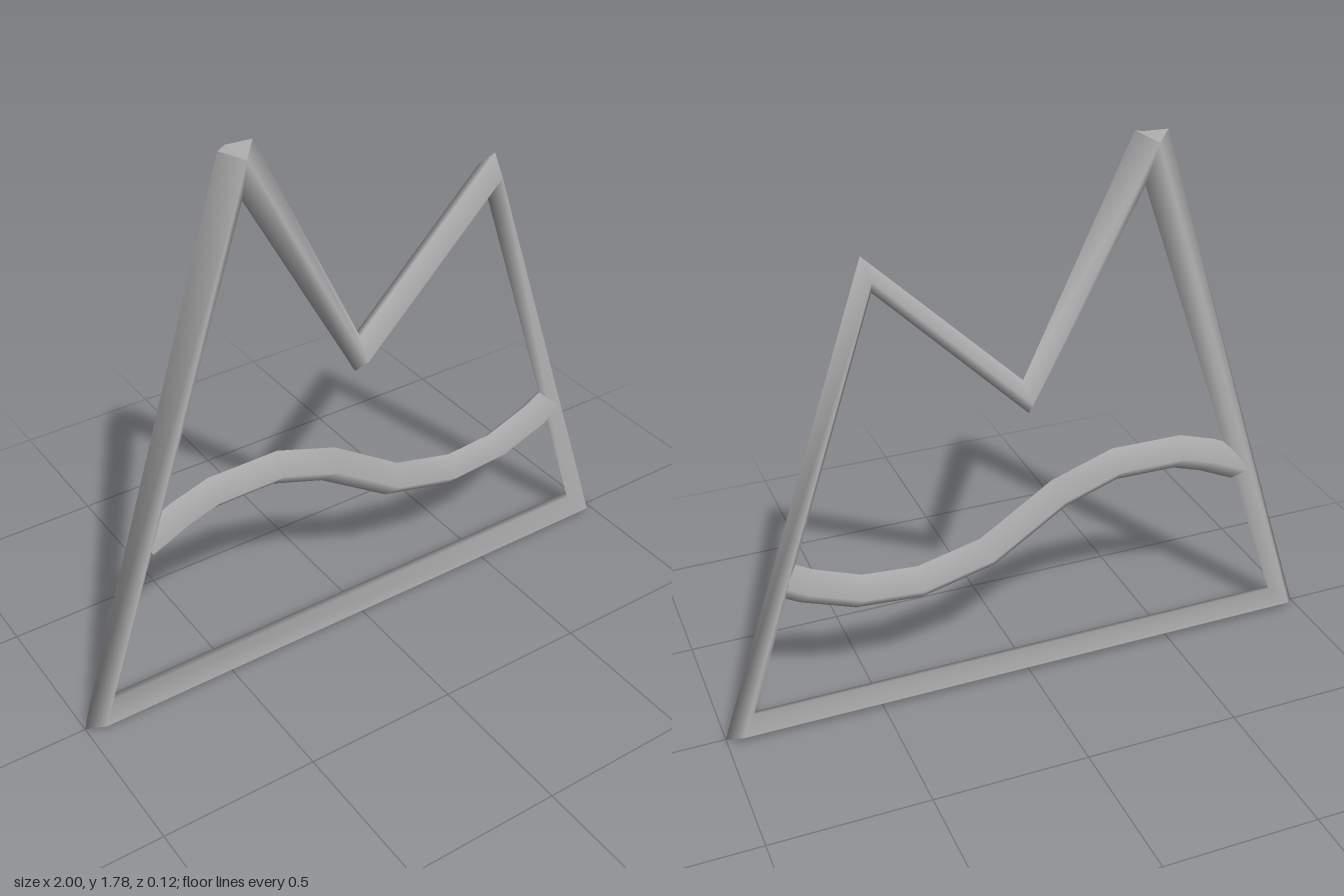
import * as THREE from 'three';

const RADIUS = 0.058;
const SIDES = 4;

// Smooth four-sided bar swept along a path in the xy plane, with one ring per
// corner set across the bisector, and flat end caps.
function sweptBar(path) {
  const pts = path.map(([x, y]) => new THREE.Vector3(x, y, 0));
  const pos = [], nor = [], idx = [];
  const last = pts.length - 1;
  const dir = i => pts[i + 1].clone().sub(pts[i]).normalize();
  const tangents = pts.map((_, i) => {
    if (i === 0) return dir(0);
    if (i === last) return dir(last - 1);
    return dir(i - 1).add(dir(i)).normalize();
  });
  const radial = (t, j) => {
    const a = (j / SIDES) * Math.PI * 2;
    return new THREE.Vector3(-t.y * Math.cos(a), t.x * Math.cos(a), Math.sin(a));
  };
  const addRing = (i, flatNormal) => {
    const base = pos.length / 3;
    for (let j = 0; j < SIDES; j++) {
      const n = radial(tangents[i], j);
      pos.push(...pts[i].clone().addScaledVector(n, RADIUS).toArray());
      nor.push(...(flatNormal || n).toArray());
    }
    return base;
  };

  // Walls
  pts.forEach((_, i) => addRing(i));
  for (let i = 0; i < last; i++) {
    for (let j = 0; j < SIDES; j++) {
      const k = (j + 1) % SIDES;
      const a = i * SIDES + j, b = i * SIDES + k;
      idx.push(a, b, b + SIDES, a, b + SIDES, a + SIDES);
    }
  }
  // Caps
  const s = addRing(0, tangents[0].clone().negate());
  const e = addRing(last, tangents[last]);
  for (let j = 1; j < SIDES - 1; j++) {
    idx.push(s, s + j + 1, s + j, e, e + j, e + j + 1);
  }

  const geo = new THREE.BufferGeometry();
  geo.setAttribute('position', new THREE.Float32BufferAttribute(pos, 3));
  geo.setAttribute('normal', new THREE.Float32BufferAttribute(nor, 3));
  geo.setIndex(idx);
  return geo;
}

export function createModel() {
  const group = new THREE.Group();
  group.name = 'mountainOutline';
  const grey = new THREE.MeshStandardMaterial({ color: 0xb4b4b4 });
  grey.name = 'grey';

  const add = (name, path) => {
    const mesh = new THREE.Mesh(sweptBar(path), grey);
    mesh.name = name;
    group.add(mesh);
  };

  // Mountain frame: starts and ends at the tall peak
  add('mountainFrame', [
    [-0.385, 1.75], [0, 0.993], [0.478, 1.465],
    [0.953, 0.035], [-0.953, 0.035], [-0.385, 1.75],
  ]);

  // Wavy bar crossing the frame
  add('wavyBar', [
    [-0.75, 0.605], [-0.63, 0.66], [-0.52, 0.695], [-0.3, 0.697], [-0.11, 0.632],
    [0.13, 0.475], [0.355, 0.42], [0.55, 0.435], [0.71, 0.495], [0.78, 0.535],
  ]);

  return group;
}
